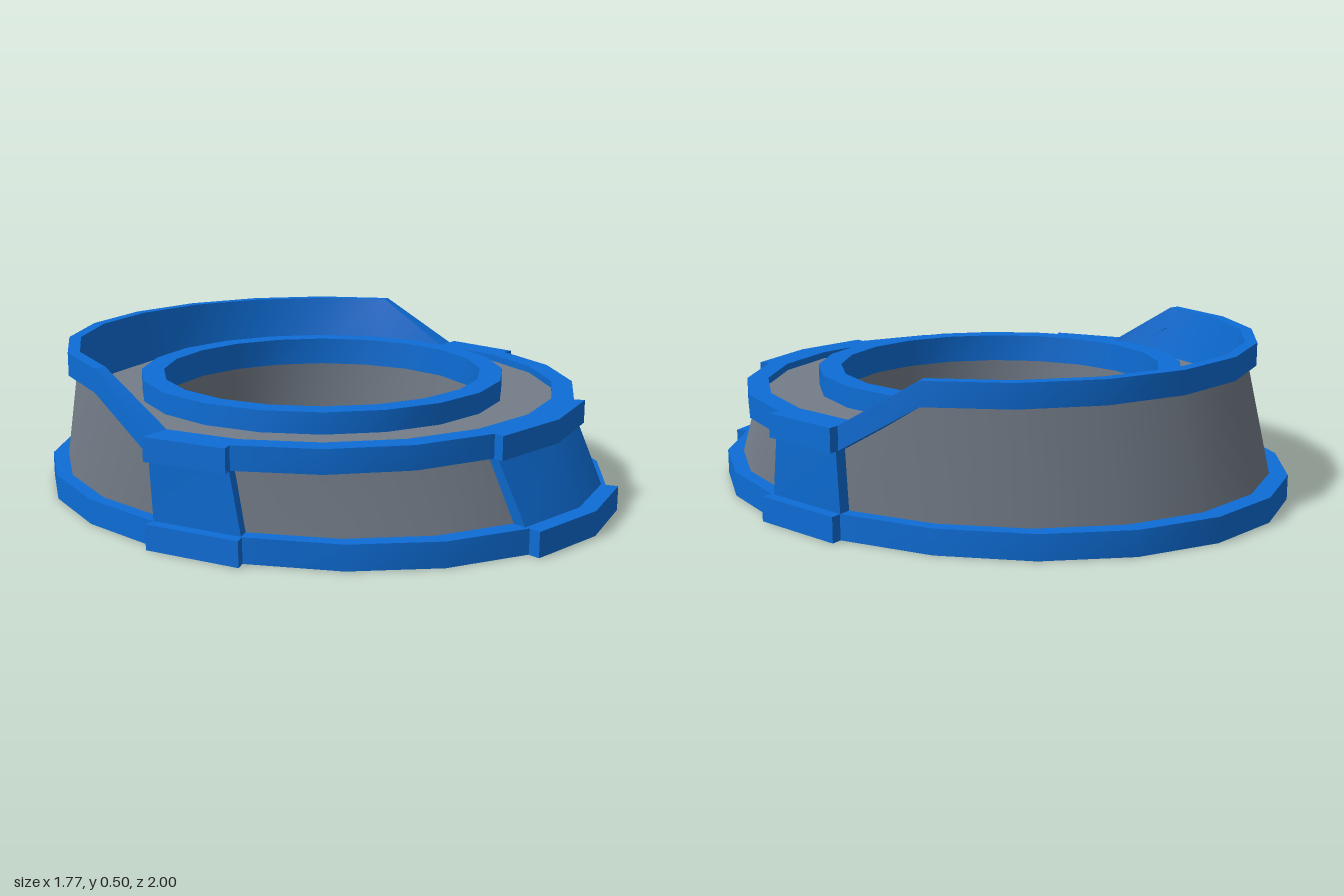
import * as THREE from 'three';
import { toCreasedNormals } from 'three/addons/utils/BufferGeometryUtils.js';

const SEGMENTS = 20;
const CENTER_Z = -0.02;
const FLARE = 1.041;                    // widening of the raised blocks
const FLARED = [19, 0, 4, 15];          // front pair and one on each side

// The rear of the collar stands higher than the front
const lift = (k) => (k >= 6 && k <= 14 ? 0.155 : 0);

// Sweeps a profile around the oval. Profile points: [radiusX, radiusZ, y, flares?]
function sweep(profile, flare = FLARE, rest = 1) {
  const stations = [];
  for (let s = 0; s < SEGMENTS; s++) {
    const scale = FLARED.includes(s) ? flare : rest;
    for (const k of [s, s + 1]) {
      const a = (k / SEGMENTS) * Math.PI * 2;
      stations.push(profile(lift(k)).map(([rx, rz, y, flares]) => {
        const f = flares ? scale : 1;
        return new THREE.Vector3(Math.sin(a) * rx * f, y, Math.cos(a) * rz * f + CENTER_Z);
      }));
    }
  }
  const pos = [];
  const tri = (a, b, c) => {
    const area = b.clone().sub(a).cross(c.clone().sub(a)).length();
    if (area > 1e-6) for (const v of [a, b, c]) pos.push(v.x, v.y, v.z);
  };
  stations.forEach((p, i) => {
    const q = stations[(i + 1) % stations.length];
    for (let j = 0; j < p.length - 1; j++) {
      tri(p[j], q[j], q[j + 1]);
      tri(p[j], q[j + 1], p[j + 1]);
    }
  });
  const geometry = new THREE.BufferGeometry();
  geometry.setAttribute('position', new THREE.Float32BufferAttribute(pos, 3));
  return toCreasedNormals(geometry, Math.PI / 6);
}

export function createModel() {
  const group = new THREE.Group();
  const blue = new THREE.MeshStandardMaterial({ color: 0x0d6dd6 });
  blue.name = 'blue trim';
  const gray = new THREE.MeshStandardMaterial({ color: 0x747d89 });
  gray.name = 'gray body';

  const add = (name, material, geometry) => {
    const mesh = new THREE.Mesh(geometry, material);
    mesh.name = name;
    group.add(mesh);
  };

  // Oval foot plate with flared blocks
  add('base', blue, sweep(() => [
    [0.56, 0.56, 0], [0.85, 0.98, 0, true], [0.85, 0.98, 0.08, true], [0.78, 0.88, 0.08],
  ]));

  // Sloping outer wall
  const wall = (h) => [[0.808, 0.918, 0.08, true], [0.82, 0.825, 0.272 + h, true]];
  add('outerWall', gray, sweep(wall, 1, 1));

  // Blocks standing proud of the wall; elsewhere tucked behind it
  add('wallBlocks', blue, sweep((h) => wall(h), 1.05, 0.98));

  // Collar that steps up around the rear
  add('collar', blue, sweep((h) => [
    [0.79, 0.79, 0.27 + h], [0.85, 0.85, 0.27 + h, true], [0.85, 0.85, 0.345 + h, true],
    [0.78 + h * 0.2, 0.78 + h * 0.2, 0.345 + h], [0.78, 0.78, 0.31],
  ]));

  // Flat floor between collar and inner ring
  add('floor', gray, sweep(() => [[0.79, 0.79, 0.322], [0.59, 0.59, 0.322]]));

  // Raised ring around the opening
  add('innerRing', blue, sweep(() => [
    [0.61, 0.61, 0.31], [0.61, 0.61, 0.39], [0.535, 0.535, 0.39], [0.535, 0.535, 0.295], [0.56, 0.56, 0.295],
  ]));

  // Wall of the opening
  add('openingWall', gray, sweep(() => [[0.56, 0.56, 0.3], [0.56, 0.56, 0]]));

  return group;
}
